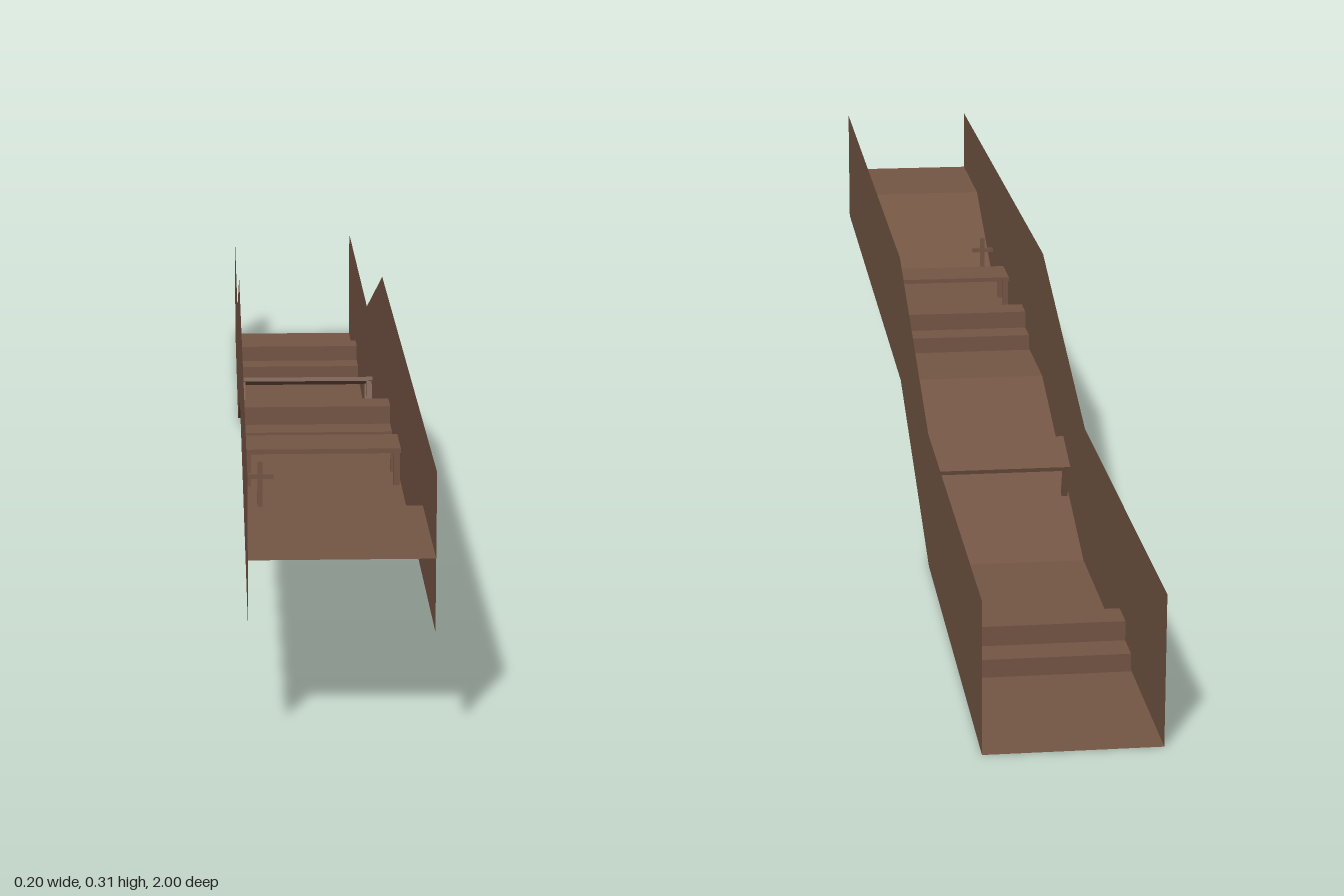
import * as THREE from 'three';

const HALF = 0.1;            // half the channel width
const UPPER = 0.13;          // height of the upper level
const RAMP_TOP = -0.01, RAMP_END = -0.41;
const WALL = 0.177;

export function createModel() {
  const model = new THREE.Group();
  model.name = 'obstacleCourse';
  const brown = new THREE.MeshStandardMaterial({ color: 0x745544, side: THREE.DoubleSide, flatShading: true });
  brown.name = 'brown';

  const add = (parent, geometry, name, x = 0, y = 0, z = 0) => {
    const mesh = new THREE.Mesh(geometry, brown);
    mesh.name = name;
    mesh.position.set(x, y, z);
    parent.add(mesh);
    return mesh;
  };
  // Outline given as [z, y] pairs
  const sideShape = (points) => new THREE.Shape(points.map(([z, y]) => new THREE.Vector2(z, y)));

  // Side walls: thin sheets following the two levels
  const base = [[1, UPPER], [RAMP_TOP, UPPER], [RAMP_END, 0], [-1, 0]];
  const top = base.map(([z, y]) => [z, y + WALL]).reverse();
  for (const side of [-1, 1]) {
    const geometry = new THREE.ShapeGeometry(sideShape([...base, ...top]));
    geometry.rotateY(-Math.PI / 2);
    if (side > 0) {               // face the right wall outwards
      geometry.scale(-1, 1, 1);
      const index = geometry.index.array;
      for (let i = 0; i < index.length; i += 3) [index[i], index[i + 1]] = [index[i + 1], index[i]];
      geometry.computeVertexNormals();
    }
    add(model, geometry, side > 0 ? 'leftWall' : 'rightWall', side * HALF);
  }

  // Floor: one open sheet with a raised start and two ramps
  const floorLine = [[1, 0.212], [0.8, 0.212], [0.6, UPPER], [RAMP_TOP, UPPER], [RAMP_END, 0], [-1, 0]];
  const floor = new THREE.PlaneGeometry(2 * HALF, 2, 1, floorLine.length - 1);
  floor.rotateX(-Math.PI / 2);
  const pos = floor.attributes.position;
  for (let i = 0; i < pos.count; i++) {
    const [z, y] = floorLine[floorLine.length - 1 - Math.floor(i / 2)];
    pos.setY(i, y);
    pos.setZ(i, z);
  }
  floor.computeVertexNormals();
  add(model, floor, 'floor');

  // Step obstacles: low, high, low
  const steps = (name, y, z) => {
    const profile = [[-0.063, 0], [0.063, 0], [0.063, 0.022], [0.021, 0.022],
      [0.021, 0.046], [-0.021, 0.046], [-0.021, 0.022], [-0.063, 0.022]];
    const geometry = new THREE.ExtrudeGeometry(sideShape(profile), { depth: 0.198, bevelEnabled: false });
    geometry.translate(0, 0, -0.099);
    geometry.rotateY(-Math.PI / 2);
    add(model, geometry, name, 0, y, z);
  };
  steps('upperSteps', UPPER, 0.187);
  steps('lowerSteps', 0, -0.722);

  // Crawl tables: a thin top on four corner legs
  const table = (name, y, z, tilt) => {
    const group = new THREE.Group();
    group.name = name;
    add(group, new THREE.BoxGeometry(0.198, 0.006, 0.07), 'tableTop', 0, 0.045, 0);
    for (const x of [-0.094, 0.094]) {
      for (const dz of [-0.03, 0.03]) {
        add(group, new THREE.BoxGeometry(0.008, 0.042, 0.008), 'tableLeg', x, 0.021, dz);
      }
    }
    group.position.set(0, y, z);
    group.rotation.x = tilt;
    model.add(group);
  };
  const slope = Math.atan2(UPPER, RAMP_TOP - RAMP_END);
  const tableZ = -0.246;
  table('upperTable', UPPER, 0.395, 0);
  table('rampTable', (tableZ - RAMP_END) * Math.tan(slope), tableZ, -slope);

  // Small post with a cross arm beside the right wall
  const post = new THREE.Group();
  post.name = 'post';
  add(post, new THREE.BoxGeometry(0.006, 0.065, 0.006), 'postPole', 0, 0.0325, 0);
  add(post, new THREE.BoxGeometry(0.032, 0.006, 0.006), 'postArm', 0, 0.046, 0);
  post.position.set(-0.08, UPPER, 0.545);
  model.add(post);

  return model;
}
